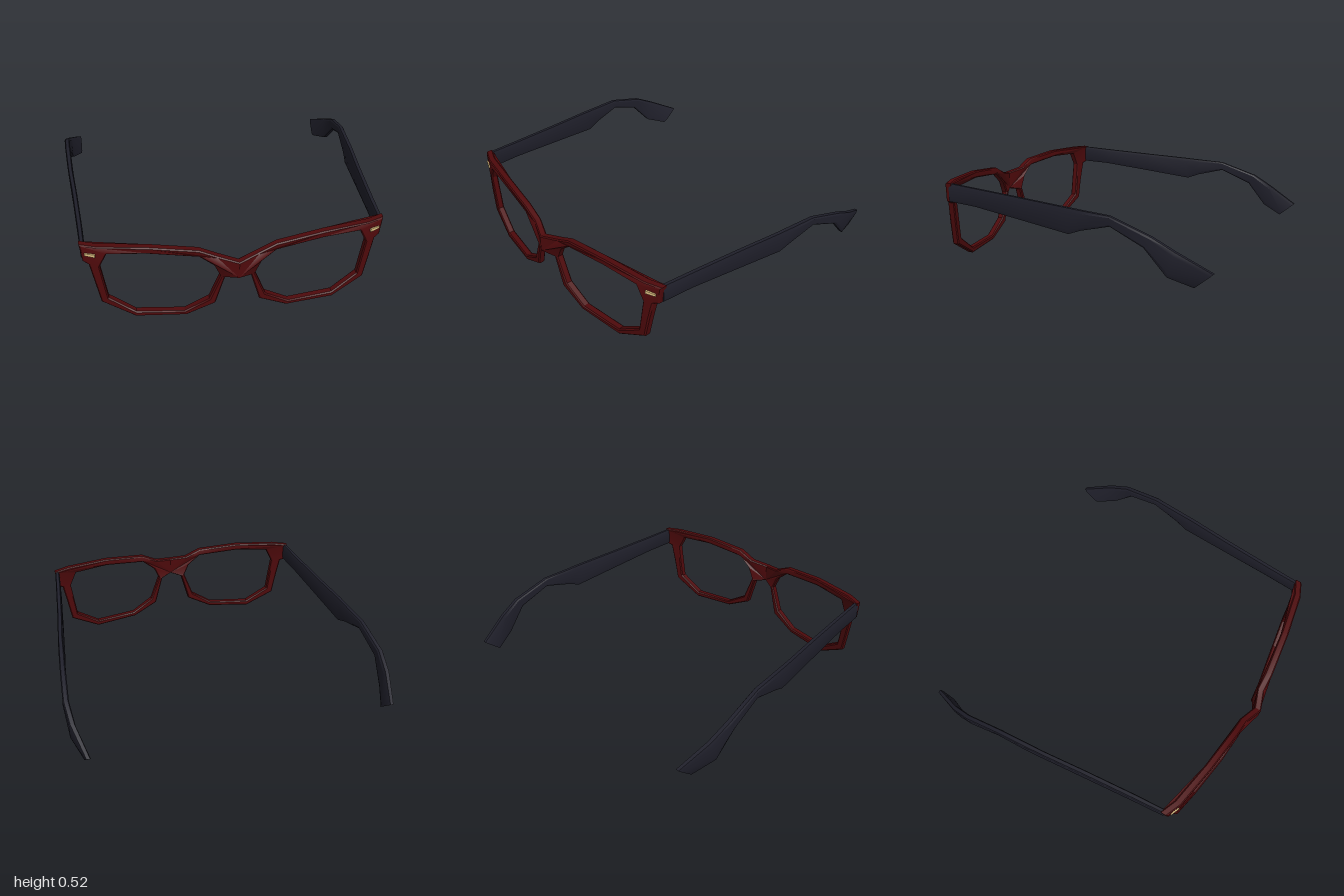
import * as THREE from 'three';
import { toCreasedNormals } from 'three/addons/utils/BufferGeometryUtils.js';

const red = new THREE.MeshStandardMaterial({ color: 0x4e090b });
red.name = 'darkRed';
const navy = new THREE.MeshStandardMaterial({ color: 0x1f1f2a });
navy.name = 'darkNavy';
const gold = new THREE.MeshStandardMaterial({ color: 0xe0c283 });
gold.name = 'paleGold';

// Depth of the wrapped front at a given distance from the middle
const wrap = [[0, 0.927], [0.075, 0.887], [0.25, 0.877], [0.5, 0.842], [0.8, 0.787], [0.9, 0.739]];
function wrapZ(x) {
  let i = 1;
  while (i < wrap.length - 1 && x > wrap[i][0]) i++;
  const [x0, z0] = wrap[i - 1], [x1, z1] = wrap[i];
  return z0 + (z1 - z0) * (x - x0) / (x1 - x0);
}

// Soft shading over gentle bends, crisp along the edges
function creased(geo) {
  return toCreasedNormals(geo, 0.5);
}

// Mirrored copy across x = 0, with corner order swapped to keep faces outward
function mirrored(geo) {
  const g = geo.clone(), src = geo.attributes.position, p = g.attributes.position;
  for (let i = 0; i < p.count; i++) {
    const j = i % 3 === 0 ? i : i % 3 === 1 ? i + 1 : i - 1;
    p.setXYZ(i, -src.getX(j), src.getY(j), src.getZ(j));
  }
  return creased(g);
}

// Left half of the front: bevelled rim with lens opening, bent along the wrap
function frameHalf() {
  const pts = (list) => list.map(([x, y]) => new THREE.Vector2(x, y));
  const shape = new THREE.Shape(pts([
    [0, 0.313], [0.075, 0.295], [0.13, 0.1], [0.3, 0.014], [0.595, 0], [0.787, 0.11],
    [0.812, 0.257], [0.835, 0.385], [0.867, 0.4], [0.88, 0.517], [0.78, 0.521],
    [0.5, 0.525], [0.22, 0.5], [0.115, 0.45], [0, 0.428],
  ]));
  shape.holes.push(new THREE.Path(pts([
    [0.73, 0.472], [0.5, 0.482], [0.22, 0.456], [0.135, 0.385], [0.1, 0.305],
    [0.165, 0.134], [0.31, 0.044], [0.59, 0.036], [0.743, 0.14], [0.775, 0.38],
  ])));
  const bevel = 0.007, depth = 0.046;
  const geo = new THREE.ExtrudeGeometry(shape, {
    depth: depth - 2 * bevel, bevelEnabled: true, bevelSegments: 1,
    bevelSize: bevel, bevelThickness: bevel, bevelOffset: -bevel,
  });
  geo.translate(0, 0, bevel - depth / 2);
  const p = geo.attributes.position;
  for (let i = 0; i < p.count; i++) {
    // close the bevel at the middle so both halves meet
    const x = p.getX(i) < 0.012 ? 0 : p.getX(i);
    p.setX(i, x);
    p.setZ(i, p.getZ(i) + wrapZ(x));
  }
  return creased(geo);
}

// Temple arm lofted through eight-sided sections: [topZ, topY, bottomZ, bottomY, x, halfWidth]
function templeArm() {
  const sections = [
    [0.75, 0.514, 0.75, 0.402, 0.863, 0.014],
    [0.55, 0.502, 0.55, 0.393, 0.879, 0.016],
    [0.2, 0.482, 0.2, 0.353, 0.911, 0.016],
    [-0.07, 0.467, -0.117, 0.316, 0.94, 0.016],
    [-0.2, 0.459, -0.2, 0.347, 0.95, 0.017],
    [-0.378, 0.449, -0.383, 0.393, 0.964, 0.017],
    [-0.628, 0.367, -0.587, 0.306, 0.981, 0.018],
    [-0.76, 0.296, -0.714, 0.158, 0.967, 0.018],
    [-0.95, 0.189, -0.847, 0.102, 0.914, 0.015],
  ];
  // across, and fraction of the way from top to bottom
  const ring = [[0.65, 0], [1, 0.15], [1, 0.85], [0.65, 1], [-0.65, 1], [-1, 0.85], [-1, 0.15], [-0.65, 0]];
  const n = ring.length, pos = [], idx = [];
  for (const [tz, ty, bz, by, x, w] of sections) {
    for (const [u, t] of ring) pos.push(x + u * w, ty + (by - ty) * t, tz + (bz - tz) * t);
  }
  for (let s = 0; s < sections.length - 1; s++) {
    for (let k = 0; k < n; k++) {
      const a = s * n + k, b = s * n + (k + 1) % n;
      idx.push(a, b, a + n, b, b + n, a + n);
    }
  }
  const last = (sections.length - 1) * n;
  for (let k = 1; k < n - 1; k++) {
    idx.push(0, k + 1, k, last, last + k, last + k + 1);
  }
  const geo = new THREE.BufferGeometry();
  geo.setAttribute('position', new THREE.Float32BufferAttribute(pos, 3));
  geo.setIndex(idx);
  return creased(geo);
}

// Small metal inlay on the outer front corner
function rivet() {
  const geo = new THREE.BoxGeometry(0.062, 0.021, 0.009);
  const p = geo.attributes.position;
  for (let i = 0; i < p.count; i++) {
    if (p.getX(i) > 0) p.setY(i, p.getY(i) * 0.75);
  }
  geo.rotateY(0.39);
  geo.translate(0.824, 0.46, wrapZ(0.824) + 0.023);
  return creased(geo);
}

export function createModel() {
  const model = new THREE.Group();
  model.name = 'eyeglasses';
  const parts = [
    ['FrameFront', frameHalf(), red],
    ['Temple', templeArm(), navy],
    ['Rivet', rivet(), gold],
  ];
  for (const [name, geo, material] of parts) {
    for (const side of ['left', 'right']) {
      const mesh = new THREE.Mesh(side === 'left' ? geo : mirrored(geo), material);
      mesh.name = side + name;
      model.add(mesh);
    }
  }
  return model;
}
